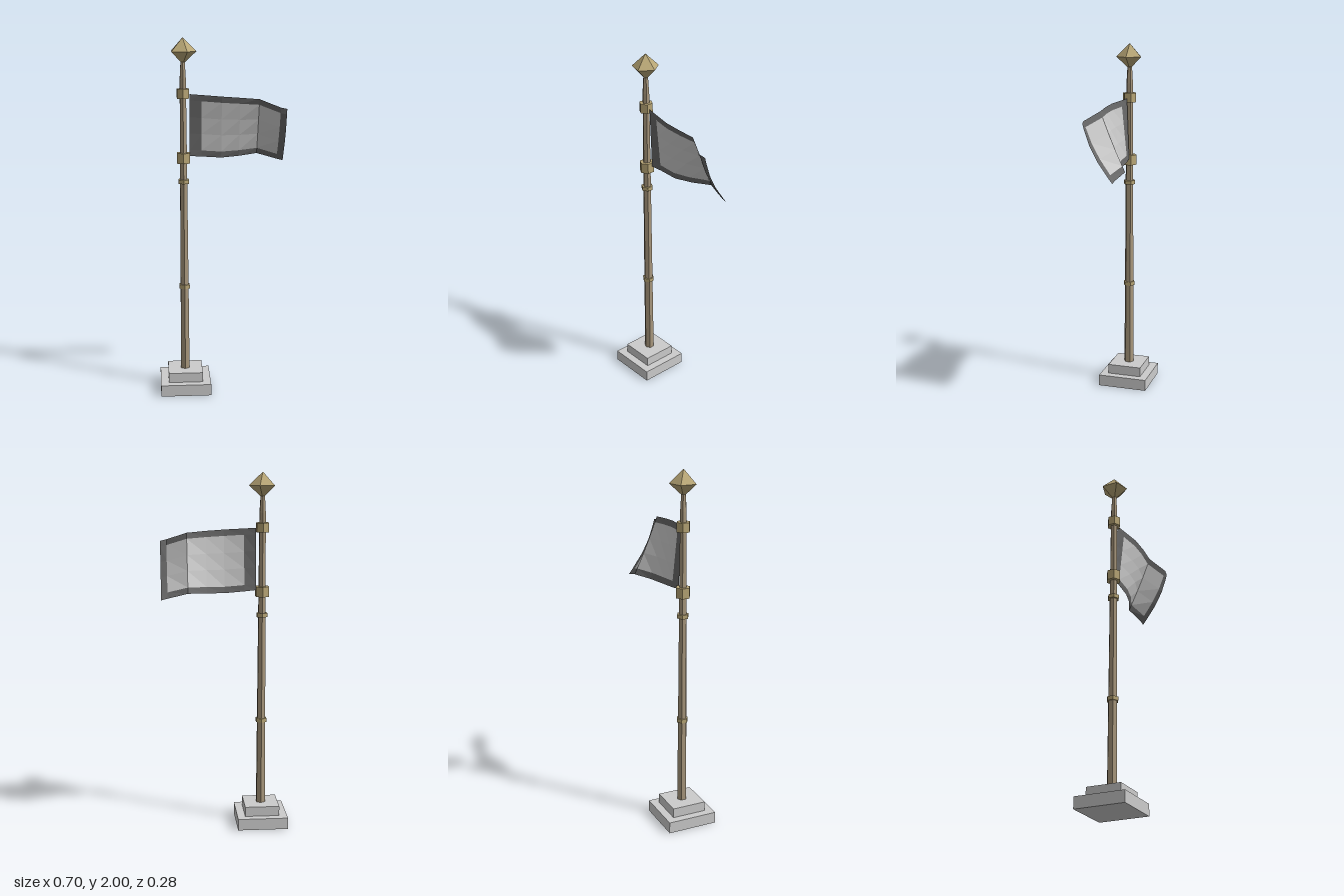
import * as THREE from 'three';

const POLE_X = -0.21;
const mat = (color) => new THREE.MeshStandardMaterial({ color, flatShading: true });
const stone = mat(0xcccccc);
const wood = mat(0xa8977c);
const brass = mat(0xb8a676);
const cloth = mat(0xcccccc);
const trim = mat(0x686868);
cloth.side = trim.side = THREE.DoubleSide;

export function createModel() {
  const model = new THREE.Group();

  const add = (name, geometry, material, x = 0, y = 0) => {
    const mesh = new THREE.Mesh(geometry, material);
    mesh.name = name;
    mesh.position.set(x, y, 0);
    model.add(mesh);
    return mesh;
  };

  // Hexagonal prism on the pole axis, from y0 to y1
  const hex = (name, r0, r1, y0, y1, material) =>
    add(name, new THREE.CylinderGeometry(r1, r0, y1 - y0, 6), material, POLE_X, (y0 + y1) / 2);

  // Stepped square base
  add('baseLower', new THREE.BoxGeometry(0.284, 0.065, 0.284), stone, POLE_X, 0.0325);
  add('baseUpper', new THREE.BoxGeometry(0.195, 0.055, 0.195), stone, POLE_X, 0.0925);

  // Pole in three sections, with a narrowing neck
  hex('poleLower', 0.028, 0.0255, 0.12, 0.61, wood);
  hex('poleMiddle', 0.0255, 0.0225, 0.61, 1.215, wood);
  hex('poleUpper', 0.0225, 0.019, 1.215, 1.78, wood);
  hex('poleNeck', 0.019, 0.013, 1.78, 1.875, wood);

  // Thin joint rings and the two wider flag collars
  for (const y of [0.61, 1.215]) hex('jointRing', 0.033, 0.033, y - 0.011, y + 0.011, brass);
  hex('lowerCollar', 0.041, 0.041, 1.318, 1.375, brass);
  hex('upperCollar', 0.038, 0.038, 1.674, 1.726, brass);

  // Five-sided double-pyramid finial, one corner towards the flag
  const finial = new THREE.LatheGeometry(
    [[0, 1.857], [0.0755, 1.927], [0, 2]].map(([r, y]) => new THREE.Vector2(r, y)), 5, Math.PI / 2);
  add('finial', finial, brass, POLE_X);

  // Flag columns: x, top y, bottom y, top z, bottom z, bulge at mid height
  const columns = [
    [-0.175, 1.697, 1.355, 0.005, -0.008, 0],
    [-0.11, 1.693, 1.35, 0.018, -0.017, 0],
    [0, 1.686, 1.342, 0.04, -0.022, 0],
    [0.1, 1.679, 1.346, 0.042, -0.05, 0.005],
    [0.205, 1.67, 1.352, 0.037, -0.1, 0.005],
    [0.315, 1.63, 1.323, 0.092, -0.075, 0.02],
    [0.35, 1.622, 1.314, 0.087, -0.075, 0.025],
  ];
  const rows = [0, 0.1, 0.37, 0.63, 0.9, 1];
  const point = (i, j) => {
    const [x, yTop, yBottom, zTop, zBottom, bulge] = columns[i];
    const v = rows[j];
    return [
      x,
      THREE.MathUtils.lerp(yTop, yBottom, v),
      THREE.MathUtils.lerp(zTop, zBottom, v) + bulge * Math.sin(Math.PI * v),
    ];
  };

  // Outer ring of cells is the dark trim, the inner cells are the field
  const parts = { flagField: [], flagTrim: [] };
  const lastCol = columns.length - 2, lastRow = rows.length - 2;
  for (let i = 0; i <= lastCol; i++) {
    for (let j = 0; j <= lastRow; j++) {
      const edge = i === 0 || j === 0 || i === lastCol || j === lastRow;
      const topLeft = point(i, j), topRight = point(i + 1, j);
      const lowLeft = point(i, j + 1), lowRight = point(i + 1, j + 1);
      parts[edge ? 'flagTrim' : 'flagField'].push(
        ...lowLeft, ...topRight, ...topLeft, ...lowLeft, ...lowRight, ...topRight);
    }
  }
  for (const [name, positions] of Object.entries(parts)) {
    const geometry = new THREE.BufferGeometry();
    geometry.setAttribute('position', new THREE.Float32BufferAttribute(positions, 3));
    geometry.computeVertexNormals();
    add(name, geometry, name === 'flagTrim' ? trim : cloth);
  }

  return model;
}
